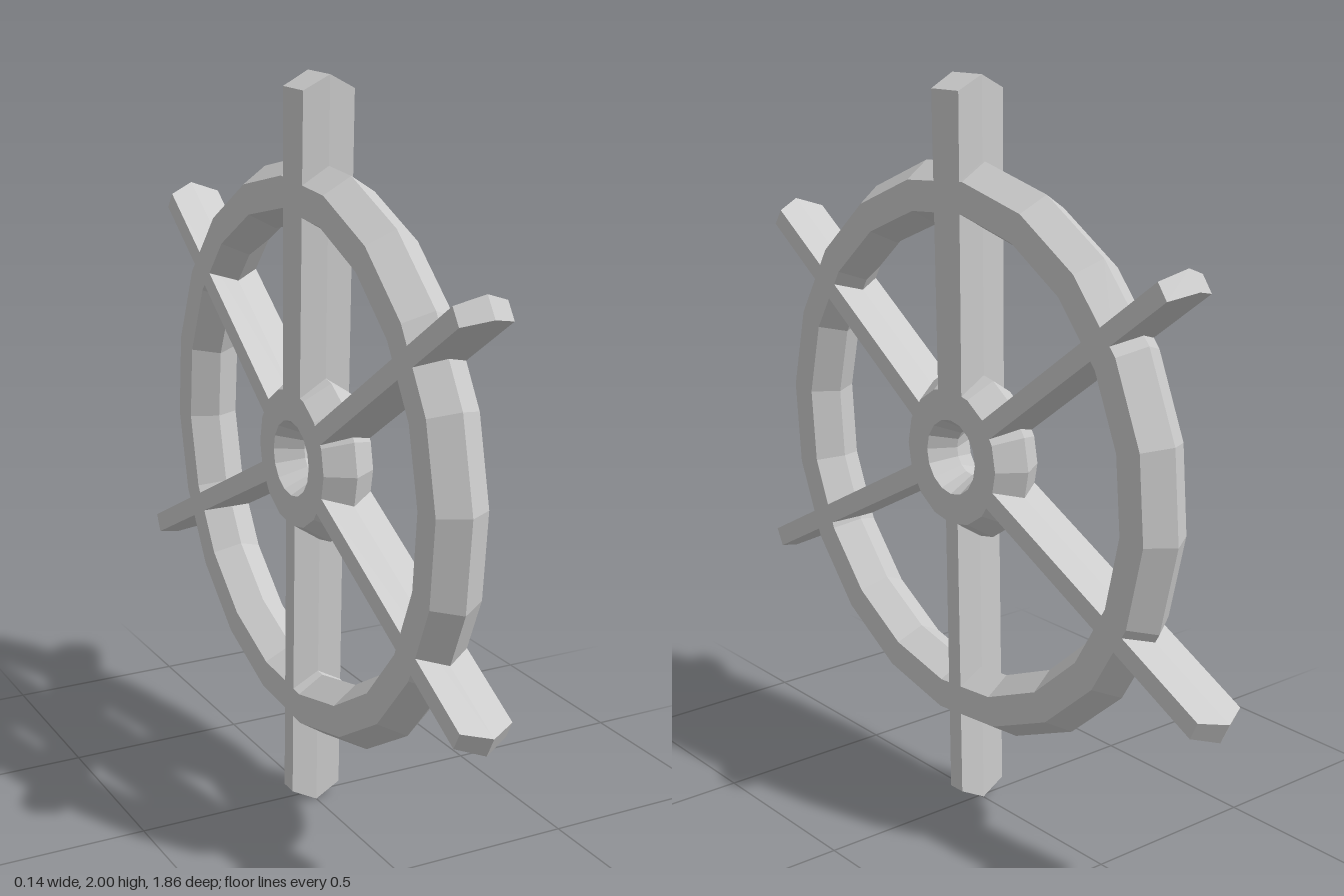
import * as THREE from 'three';

const HALF = 0.072; // half thickness of the whole wheel
const rad = THREE.MathUtils.degToRad;
const material = new THREE.MeshStandardMaterial({ color: 0xcccccc, flatShading: true });

function addMesh(group, name, geometry) {
  const mesh = new THREE.Mesh(geometry, material);
  mesh.name = name;
  group.add(mesh);
  return mesh;
}

// Ring of six-sided section: widest along its middle, flat on both faces
function ring(outer, outerFace, innerFace, inner, sides, start) {
  const profile = [
    [outer, 0], [outerFace, HALF], [innerFace, HALF],
    [inner, 0], [innerFace, -HALF], [outerFace, -HALF], [outer, 0],
  ].map(([r, y]) => new THREE.Vector2(r, y));
  return new THREE.LatheGeometry(profile, sides, rad(start)).rotateX(Math.PI / 2);
}

// Flat bar along +x with a ridge around its edge and a pointed tip
function spoke(length, halfWidth, rootScale) {
  const root = 0.14, tipBevel = 0.037, sideBevel = 0.005;
  const g = new THREE.BoxGeometry(2, 2, 2, 1, 1, 2);
  const p = g.attributes.position;
  for (let i = 0; i < p.count; i++) {
    const face = Math.abs(p.getZ(i)) > 0.5;
    const tip = p.getX(i) > 0;
    const w = halfWidth * (tip ? 1 : rootScale) - (face ? sideBevel : 0);
    const x = tip ? length - (face ? tipBevel : 0) : root;
    p.setXYZ(i, x, p.getY(i) * w, p.getZ(i) * HALF);
  }
  g.computeVertexNormals();
  return g;
}

export function createModel() {
  const model = new THREE.Group();
  model.name = 'spokedWheel';

  // Wheel is laid out in its own XY plane, then turned to face sideways
  const wheel = new THREE.Group();
  wheel.name = 'wheel';
  wheel.rotation.y = Math.PI / 2;
  wheel.position.set(0, 1.004, 0.037);
  model.add(wheel);

  addMesh(wheel, 'rim', ring(0.783, 0.737, 0.655, 0.613, 20, 14));
  addMesh(wheel, 'hub', ring(0.233, 0.185, 0.102, 0.063, 16, 0));

  // Spokes: name, tip position, half width, root width ratio
  const spokes = [
    ['topSpoke', -0.018, 0.996, 0.06, 0.9],
    ['upperFrontSpoke', -0.832, 0.556, 0.031, 1],
    ['lowerFrontSpoke', -0.88, -0.472, 0.032, 1],
    ['bottomSpoke', 0.021, -0.998, 0.03, 1],
    ['lowerBackSpoke', 0.954, -0.472, 0.032, 1],
    ['upperBackSpoke', 0.804, 0.594, 0.031, 1],
  ];
  for (const [name, x, y, halfWidth, rootScale] of spokes) {
    const mesh = addMesh(wheel, name, spoke(Math.hypot(x, y), halfWidth, rootScale));
    mesh.rotation.z = Math.atan2(y, x);
  }
  return model;
}
